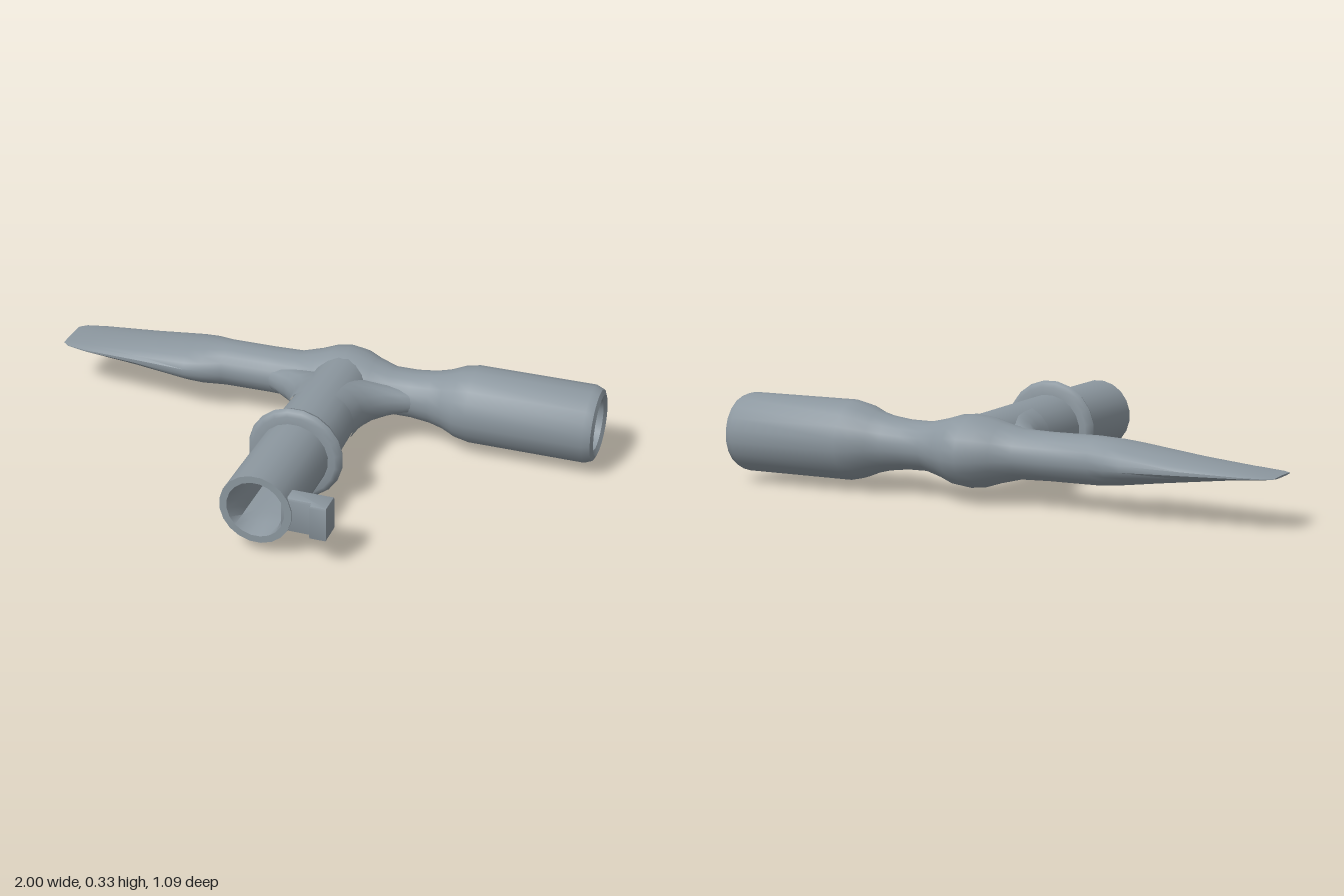
import * as THREE from 'three';
import { toCreasedNormals } from 'three/addons/utils/BufferGeometryUtils.js';

const CY = 0.172;     // height of both axes
const STEM_X = 0.075; // stem axis
const BAR_Z = -0.39;  // handle axis
const SIDES = 20;

// Skin elliptical rings. Row: [position on axis, side radius, height radius, side centre, squareness 0..1]
function loft(axis, rows, centre, crease = 0.75) {
  const pos = [], index = [];
  for (const [t, rs, rh, c = centre, square = 0] of rows) {
    for (let j = 0; j < SIDES; j++) {
      const a = ((j + 0.5) / SIDES) * Math.PI * 2;
      const cos = Math.cos(a), sin = Math.sin(a);
      const k = 1 + square * (1 / Math.max(Math.abs(cos), Math.abs(sin)) - 1);
      const u = rs * k * cos, y = CY + rh * k * sin;
      if (axis === 'x') pos.push(t, y, c - u);
      else pos.push(c + u, y, t);
    }
  }
  for (let i = 0; i < rows.length - 1; i++) {
    for (let j = 0; j < SIDES; j++) {
      const n = (j + 1) % SIDES;
      const a = i * SIDES + j, b = i * SIDES + n, c = a + SIDES, d = b + SIDES;
      index.push(a, b, d, a, d, c);
    }
  }
  const geo = new THREE.BufferGeometry();
  geo.setAttribute('position', new THREE.Float32BufferAttribute(pos, 3));
  geo.setIndex(index);
  return toCreasedNormals(geo, crease);
}

export function createModel() {
  const model = new THREE.Group();
  model.name = 'teeHandleKey';
  const steel = new THREE.MeshStandardMaterial({ color: 0x8c979f });
  steel.name = 'grey steel';
  const add = (name, geo) => {
    const mesh = new THREE.Mesh(geo, steel);
    mesh.name = name;
    model.add(mesh);
    return mesh;
  };

  // Handle: flat blade, neck, rounded hub, neck and hollow barrel
  add('handleBar', loft('x', [
    [-1, 0, 0],
    [-1, 0.068, 0.003],
    [-0.975, 0.088, 0.006],
    [-0.9, 0.104, 0.014],
    [-0.7, 0.117, 0.04],
    [-0.5, 0.13, 0.067, -0.386],
    [-0.44, 0.121, 0.075, -0.386],
    [-0.37, 0.094, 0.08, -0.388],
    [-0.2, 0.092, 0.08],
    [-0.1, 0.093, 0.083],
    [-0.03, 0.117, 0.1, -0.395],
    [0.02, 0.136, 0.116, -0.402],
    [0.075, 0.145, 0.122, -0.405],
    [0.13, 0.136, 0.116, -0.402],
    [0.18, 0.117, 0.1, -0.395],
    [0.25, 0.093, 0.083],
    [0.33, 0.09, 0.084],
    [0.4, 0.093, 0.093],
    [0.45, 0.105, 0.106],
    [0.5, 0.13, 0.126],
    [0.55, 0.137, 0.137],
    [0.965, 0.137, 0.137],
    [0.992, 0.126, 0.126],
    [1, 0.108, 0.108],
    [0.99, 0.09, 0.09],
    [0.93, 0.086, 0.086],
    [0.7, 0.03, 0.03],
    [0.7, 0, 0],
  ], BAR_Z));

  // Fillet spreading from the stem into both necks
  add('handleFillet', loft('z', [
    [-0.36, 0.36, 0.06],
    [-0.315, 0.31, 0.066],
    [-0.295, 0.255, 0.078],
    [-0.265, 0.195, 0.092],
    [-0.22, 0.152, 0.106],
    [-0.17, 0.134, 0.113],
    [-0.1, 0.126, 0.117],
  ], STEM_X));

  // Stem with a square socket in its open end
  add('stem', loft('z', [
    [-0.5, 0.04, 0.04],
    [-0.47, 0.085, 0.085],
    [-0.42, 0.108, 0.108],
    [-0.34, 0.114, 0.114],
    [0, 0.124, 0.119],
    [0.14, 0.124, 0.121],
    [0.53, 0.125, 0.124],
    [0.53, 0.1, 0.1],
    [0.47, 0.08, 0.08, STEM_X, 0.5],
    [0.42, 0.07, 0.07, STEM_X, 1],
    [0.22, 0.07, 0.07, STEM_X, 1],
    [0.22, 0.04, 0.04],
    [0.18, 0, 0],
  ], STEM_X));

  // Rounded collar around the stem
  add('collar', loft('z', [
    [0.12, 0.11, 0.11],
    [0.12, 0.148, 0.148],
    [0.127, 0.162, 0.162],
    [0.143, 0.169, 0.169],
    [0.159, 0.162, 0.162],
    [0.166, 0.148, 0.148],
    [0.166, 0.11, 0.11],
  ], STEM_X));

  // Hooked lug beside the socket, an L in plan with softened edges
  const lug = new THREE.Shape();
  lug.moveTo(0.17, -0.47);
  lug.lineTo(0.315, -0.47);
  lug.lineTo(0.315, -0.537);
  lug.lineTo(0.272, -0.537);
  lug.lineTo(0.268, -0.517);
  lug.lineTo(0.17, -0.517);
  lug.closePath();
  const lugGeo = new THREE.ExtrudeGeometry(lug, {
    depth: 0.106, bevelEnabled: true, bevelThickness: 0.01, bevelSize: 0.008, bevelSegments: 2,
  });
  lugGeo.rotateX(-Math.PI / 2);
  add('lug', toCreasedNormals(lugGeo, 0.75)).position.y = CY - 0.053;

  return model;
}
